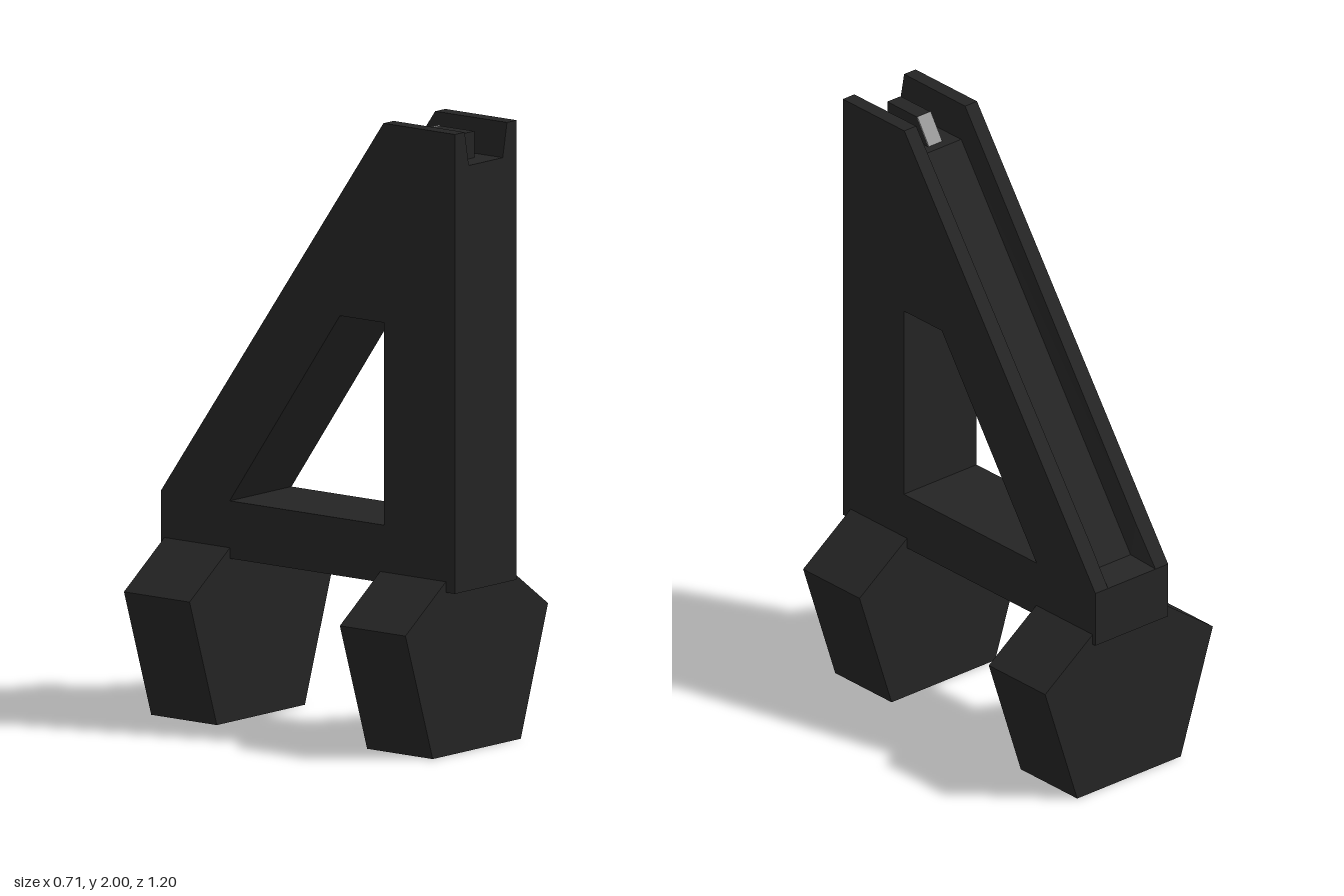
import * as THREE from 'three';

const dark = new THREE.MeshStandardMaterial({ color: 0x242424 });
dark.name = 'blackPolymer';
const grey = new THREE.MeshStandardMaterial({ color: 0x999999 });
grey.name = 'lightGrey';

const toPoints = (list) => list.map(([a, b]) => new THREE.Vector2(a, b));

function addMesh(group, name, geometry, material) {
  const mesh = new THREE.Mesh(geometry, material);
  mesh.name = name;
  group.add(mesh);
  return mesh;
}

// Extrudes a (z, y) side profile across x, centred on x = 0
function sideExtrude(profile, width, hole) {
  const shape = new THREE.Shape(toPoints(profile));
  if (hole) shape.holes.push(new THREE.Path(toPoints(hole)));
  const geo = new THREE.ExtrudeGeometry(shape, { depth: width, bevelEnabled: false });
  geo.rotateY(-Math.PI / 2);
  geo.translate(width / 2, 0, 0);
  return geo;
}

// Flat-shaded skin over four-sided rings that run from front to back
function loft(rings) {
  const pos = [];
  const quad = (a, b, c, d) => pos.push(...a, ...b, ...c, ...a, ...c, ...d);
  for (let s = 0; s < rings.length - 1; s++) {
    const a = rings[s], b = rings[s + 1];
    for (let i = 0; i < 4; i++) {
      const j = (i + 1) % 4;
      quad(a[i], b[i], b[j], a[j]);
    }
  }
  quad(...rings[0]);
  quad(...[...rings[rings.length - 1]].reverse());
  const geo = new THREE.BufferGeometry();
  geo.setAttribute('position', new THREE.Float32BufferAttribute(pos, 3));
  geo.computeVertexNormals();
  return geo;
}

export function createModel() {
  const model = new THREE.Group();
  model.name = 'frontSight';

  // Triangular body up to the channel floor, with the window cut through it
  const body = [[0.6, 0.525], [0.6, 1.89], [0.305, 1.89], [-0.51, 0.735], [-0.6, 0.71], [-0.6, 0.525]];
  const opening = [[0.31, 0.71], [0.31, 1.36], [0.13, 1.36], [-0.32, 0.71]];
  addMesh(model, 'body', sideExtrude(body, 0.306, opening), dark);

  // Rails either side of the channel: z, top, floor, inner x at top and floor
  const stations = [
    [0.6, 2, 1.89, 0.105, 0.084],
    [0.308, 2, 1.89, 0.103, 0.083],
    [-0.51, 0.838, 0.735, 0.097, 0.075],
    [-0.6, 0.71, 0.71, 0.1, 0.1],
  ];
  for (const side of [1, -1]) {
    const rings = stations.map(([z, top, floor, xt, xf]) => {
      const ring = [[0.153, floor], [0.153, top], [xt, top], [xf, floor]]
        .map(([x, y]) => [side * x, y, z]);
      return side > 0 ? ring : ring.reverse();
    });
    addMesh(model, side > 0 ? 'leftRail' : 'rightRail', loft(rings), dark);
  }

  // Sight post with a sloping rear face and its pale insert
  addMesh(model, 'sightPost',
    sideExtrude([[0.53, 1.88], [0.53, 1.975], [0.39, 1.975], [0.335, 1.89], [0.335, 1.88]], 0.056), dark);
  addMesh(model, 'sightInsert',
    sideExtrude([[0.335, 1.89], [0.39, 1.975], [0.387, 1.977], [0.332, 1.892]], 0.056), grey);

  // Two pentagonal clamp blocks under the body
  const pentagon = new THREE.Shape(toPoints(
    [[-0.218, 0], [0.218, 0], [0.353, 0.415], [0, 0.67], [-0.353, 0.415]]));
  for (const [name, z] of [['frontFoot', 0.295], ['backFoot', -0.587]]) {
    const foot = new THREE.ExtrudeGeometry(pentagon, { depth: 0.268, bevelEnabled: false });
    addMesh(model, name, foot, dark).position.z = z;
  }

  return model;
}
